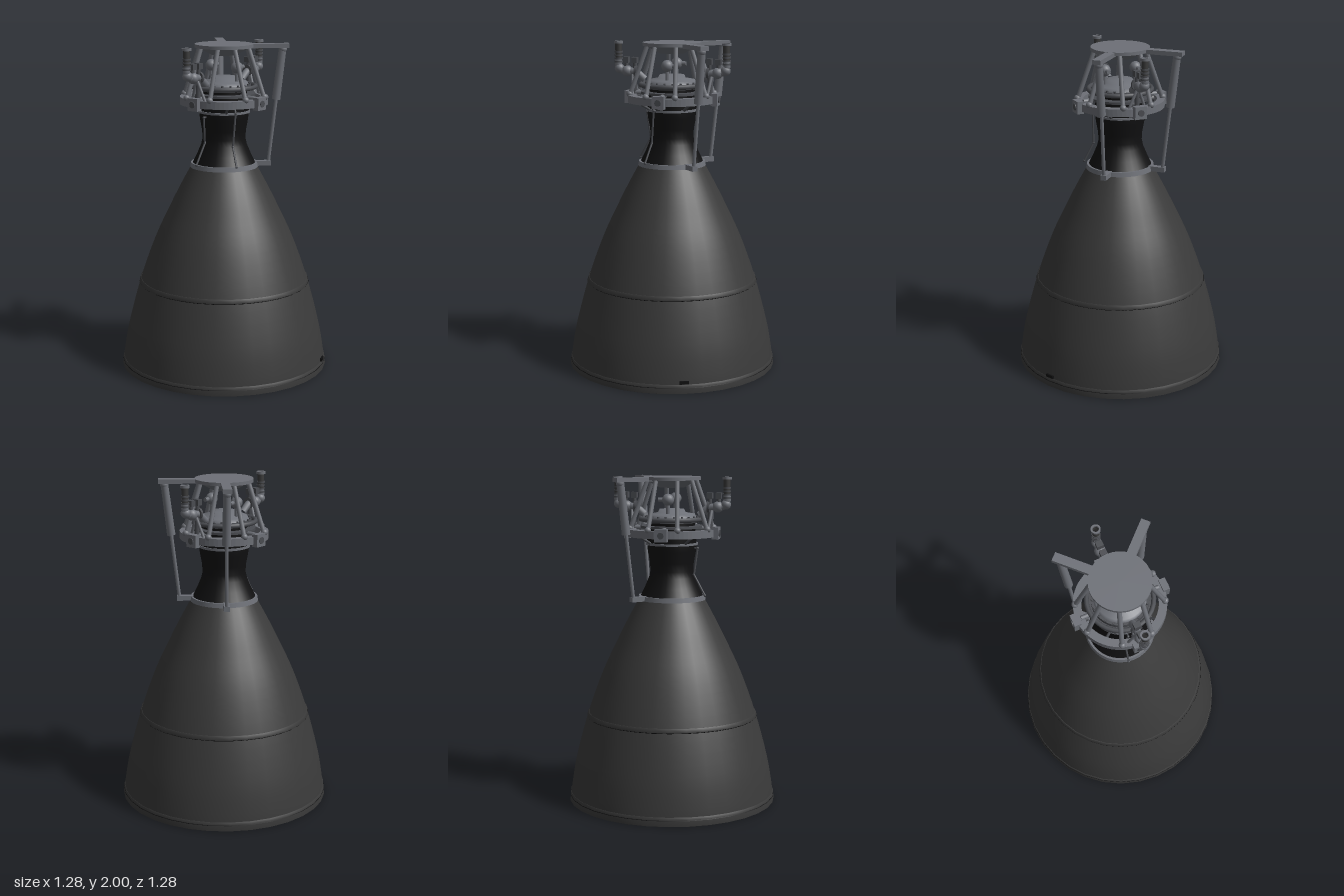
import * as THREE from 'three';

export function createModel() {
  const engine = new THREE.Group();
  engine.name = 'rocketEngine';
  const mat = (name, color, side = THREE.FrontSide) => {
    const m = new THREE.MeshStandardMaterial({ color, side });
    m.name = name;
    return m;
  };
  const steel = mat('steelGrey', 0x6d7077);
  const dark = mat('darkSteel', 0x4a4c51);
  const skirt = mat('nozzleCharcoal', 0x3a3a3a, THREE.DoubleSide);
  const black = mat('chamberBlack', 0x101011, THREE.DoubleSide);

  const V = (x, y, z) => new THREE.Vector3(x, y, z);
  const add = (name, geo, material, x = 0, y = 0, z = 0) => {
    const m = new THREE.Mesh(geo, material);
    m.name = name;
    m.position.set(x, y, z);
    engine.add(m);
    return m;
  };
  const lathe = (name, pts, material, seg = 32) =>
    add(name, new THREE.LatheGeometry(pts.map(p => new THREE.Vector2(...p)), seg), material);
  const disc = (name, r1, r2, y0, y1, material, x = 0, z = 0, seg = 32) =>
    add(name, new THREE.CylinderGeometry(r1, r2, y1 - y0, seg), material, x, (y0 + y1) / 2, z);
  const box = (name, w, h, d, material, x, y, z) =>
    add(name, new THREE.BoxGeometry(w, h, d), material, x, y, z);
  const rod = (name, a, b, r, material = steel, r2 = r) => {
    const dir = b.clone().sub(a);
    const m = add(name, new THREE.CylinderGeometry(r2, r, dir.length(), 10), material);
    m.position.copy(a).add(b).multiplyScalar(0.5);
    m.quaternion.setFromUnitVectors(V(0, 1, 0), dir.normalize());
    return m;
  };
  const ball = (name, r, material, x, y, z) =>
    add(name, new THREE.SphereGeometry(r, 16, 12), material, x, y, z);
  // Ring with a rectangular section and crisp edges
  const ring = (name, ri, ro, y0, y1, material) => {
    const s = new THREE.Shape().absarc(0, 0, ro, 0, Math.PI * 2);
    s.holes.push(new THREE.Path().absarc(0, 0, ri, 0, Math.PI * 2, true));
    const g = new THREE.ExtrudeGeometry(s, { depth: y1 - y0, bevelEnabled: false, curveSegments: 32 });
    g.rotateX(-Math.PI / 2);
    return add(name, g, material, 0, y0, 0);
  };

  // Bell nozzle, open at the bottom
  const bell = new THREE.SplineCurve([[0.636, 0], [0.625, 0.1], [0.592, 0.28], [0.518, 0.55], [0.428, 0.8],
    [0.335, 1.0], [0.27, 1.13], [0.2, 1.26]].map(p => new THREE.Vector2(...p)));
  add('bellNozzle', new THREE.LatheGeometry(bell.getPoints(28), 32), skirt);
  lathe('middleBand', [[0.521, 0.53], [0.528, 0.53], [0.521, 0.556], [0.515, 0.556]], skirt);
  lathe('middleSeam', [[0.524, 0.526], [0.529, 0.532]], black);
  lathe('rimBand', [[0.636, 0], [0.64, 0.002], [0.637, 0.035], [0.635, 0.055], [0.628, 0.055]], skirt);
  lathe('rimSeam', [[0.638, 0.034], [0.6365, 0.038]], black);
  const port = box('rimPort', 0.012, 0.018, 0.055, black, 0.582, 0.068, -0.25);
  port.rotation.y = Math.atan2(0.25, 0.582);

  // Combustion chamber with a narrow throat
  lathe('combustionChamber', [[0.195, 1.27], [0.165, 1.33], [0.14, 1.39], [0.131, 1.43], [0.134, 1.48],
    [0.147, 1.55], [0.151, 1.6], [0.151, 1.68]], black);
  disc('throatFlange', 0.203, 0.208, 1.253, 1.28, steel);
  ring('chamberBand', 0.14, 0.158, 1.588, 1.602, steel);

  // Injector head
  disc('headBase', 0.15, 0.15, 1.66, 1.7, black);
  disc('lowerHeadFlange', 0.19, 0.19, 1.692, 1.706, dark);
  disc('headNeck', 0.14, 0.14, 1.7, 1.73, black);
  disc('upperHeadFlange', 0.165, 0.165, 1.725, 1.755, dark);
  lathe('headDome', [[0.15, 1.755], [0.14, 1.775], [0.085, 1.785], [0.075, 1.805], [0, 1.81]], steel);
  for (let i = 0; i < 20; i++) {
    const a = i / 20 * Math.PI * 2;
    disc('flangeBolt', 0.007, 0.007, 1.75, 1.764, dark, Math.cos(a) * 0.156, Math.sin(a) * 0.156, 6);
  }
  const manifold = add('headManifold', new THREE.TorusGeometry(0.19, 0.014, 8, 32), dark, 0, 1.745, 0);
  manifold.rotation.x = Math.PI / 2;

  // Gimbal ring with four pivot blocks and spokes
  ring('gimbalRing', 0.22, 0.268, 1.64, 1.685, steel);
  for (let i = 0; i < 4; i++) {
    const a = i * Math.PI / 2, c = Math.cos(a), s = Math.sin(a);
    const block = box('pivotBlock', 0.04, 0.075, 0.075, steel, c * 0.273, 1.663, s * 0.273);
    block.rotation.y = -a;
    rod('pivotPin', V(c * 0.2, 1.663, s * 0.2), V(c * 0.298, 1.663, s * 0.298), 0.02, dark);
    rod('headSpoke', V(c * 0.14, 1.69, s * 0.14), V(c * 0.24, 1.69, s * 0.24), 0.014);
    const d = a + Math.PI / 4;
    rod('chamberBrace', V(Math.cos(d) * 0.15, 1.6, Math.sin(d) * 0.15),
      V(Math.cos(d) * 0.235, 1.65, Math.sin(d) * 0.235), 0.008, dark);
  }

  // Thrust plate and the truss below it
  disc('thrustPlate', 0.177, 0.177, 1.98, 2.0, steel);
  disc('thrustCone', 0.16, 0.075, 1.935, 1.98, steel);
  for (const x of [-1, 1]) for (const z of [-1, 1]) {
    rod('trussStrut', V(x * 0.24, 1.68, z * 0.09), V(x * 0.135, 1.985, z * 0.065), 0.014);
    rod('trussStrut', V(x * 0.09, 1.68, z * 0.24), V(x * 0.065, 1.985, z * 0.135), 0.014);
    ball('trussFoot', 0.02, steel, x * 0.24, 1.69, z * 0.09);
    ball('trussFoot', 0.02, steel, x * 0.09, 1.69, z * 0.24);
  }

  // Steering arms and actuators at the back corners
  for (const x of [-1, 1]) {
    const arm = box('steeringArm', 0.3, 0.026, 0.054, steel, x * 0.17, 1.986, -0.174);
    arm.rotation.y = x * Math.PI / 4;
    const top = V(x * 0.25, 1.98, -0.255), mid = V(x * 0.222, 1.66, -0.228), low = V(x * 0.193, 1.275, -0.193);
    rod('actuatorBody', top, mid, 0.023, steel, 0.026);
    rod('actuatorRod', mid, low, 0.011);
    ball('actuatorJoint', 0.025, steel, top.x, 1.965, top.z);
    const foot = box('actuatorFoot', 0.11, 0.03, 0.035, steel, x * 0.165, 1.268, -0.165);
    foot.rotation.y = x * Math.PI / 4;
  }

  // Round tanks on stems above the head
  for (const x of [-1, 1]) {
    rod('tankStem', V(x * 0.1, 1.77, 0), V(x * 0.1, 1.85, 0), 0.012);
    ball('roundTank', 0.036, steel, x * 0.1, 1.865, 0);
    rod('tankValve', V(x * 0.1, 1.865, 0), V(x * 0.1, 1.865, -0.06), 0.013);
  }

  // Feed lines at the front and back, with elbows and valves
  for (const s of [-1, 1]) {
    const elbow = new THREE.CatmullRomCurve3([V(0, 1.9, s * 0.34), V(0, 1.85, s * 0.34),
      V(0, 1.825, s * 0.32), V(0, 1.82, s * 0.28), V(0, 1.815, s * 0.23), V(0, 1.77, s * 0.17)]);
    add('feedElbow', new THREE.TubeGeometry(elbow, 20, 0.022, 12), steel);
    add('feedInlet', new THREE.CylinderGeometry(0.021, 0.021, 0.11, 16, 1, true), skirt, 0, 1.945, s * 0.34);
    ring('feedLip', 0.018, 0.028, 1.985, 2.0, steel).position.z = s * 0.34;
    for (const y of [1.87, 1.89, 1.91, 1.93]) disc('feedBellows', 0.025, 0.025, y, y + 0.01, dark, 0, s * 0.34, 16);
    disc('feedInletCore', 0.017, 0.017, 1.9, 1.96, black, 0, s * 0.34, 16);
    ball('feedValve', 0.034, steel, 0, 1.82, s * 0.285);
    ball('feedJoint', 0.03, steel, 0, 1.835, s * 0.335);
    for (const z of [0.235, 0.29]) {
      rod('valveStem', V(0, 1.82, s * z), V(0, 1.88, s * z), 0.012, dark);
      box('valveHead', 0.04, 0.035, 0.034, dark, 0, 1.887, s * z);
    }
    rod('feedFlange', V(0, 1.82, s * 0.22), V(0, 1.82, s * 0.235), 0.034, dark);
    rod('feedPost', V(0, 1.81, s * 0.235), V(0, 1.68, s * 0.24), 0.015, dark);
    for (const x of [-1, 1]) rod('feedBrace', V(x * 0.05, 1.68, s * 0.235), V(0, 1.81, s * 0.25), 0.009);
  }

  // Thin cooling lines that follow the chamber
  const line = pts => {
    for (let i = 0; i < pts.length - 1; i++) {
      rod('coolingLine', pts[i], pts[i + 1], 0.006, dark);
      ball('coolingJoint', 0.008, dark, pts[i + 1].x, pts[i + 1].y, pts[i + 1].z);
    }
  };
  line([V(-0.02, 1.57, 0.14), V(-0.02, 1.57, 0.165), V(-0.03, 1.41, 0.145), V(-0.037, 1.285, 0.215)]);
  line([V(0.14, 1.62, 0.065), V(0.148, 1.6, 0.07), V(0.14, 1.4, 0.085), V(0.19, 1.285, 0.112)]);

  return engine;
}
